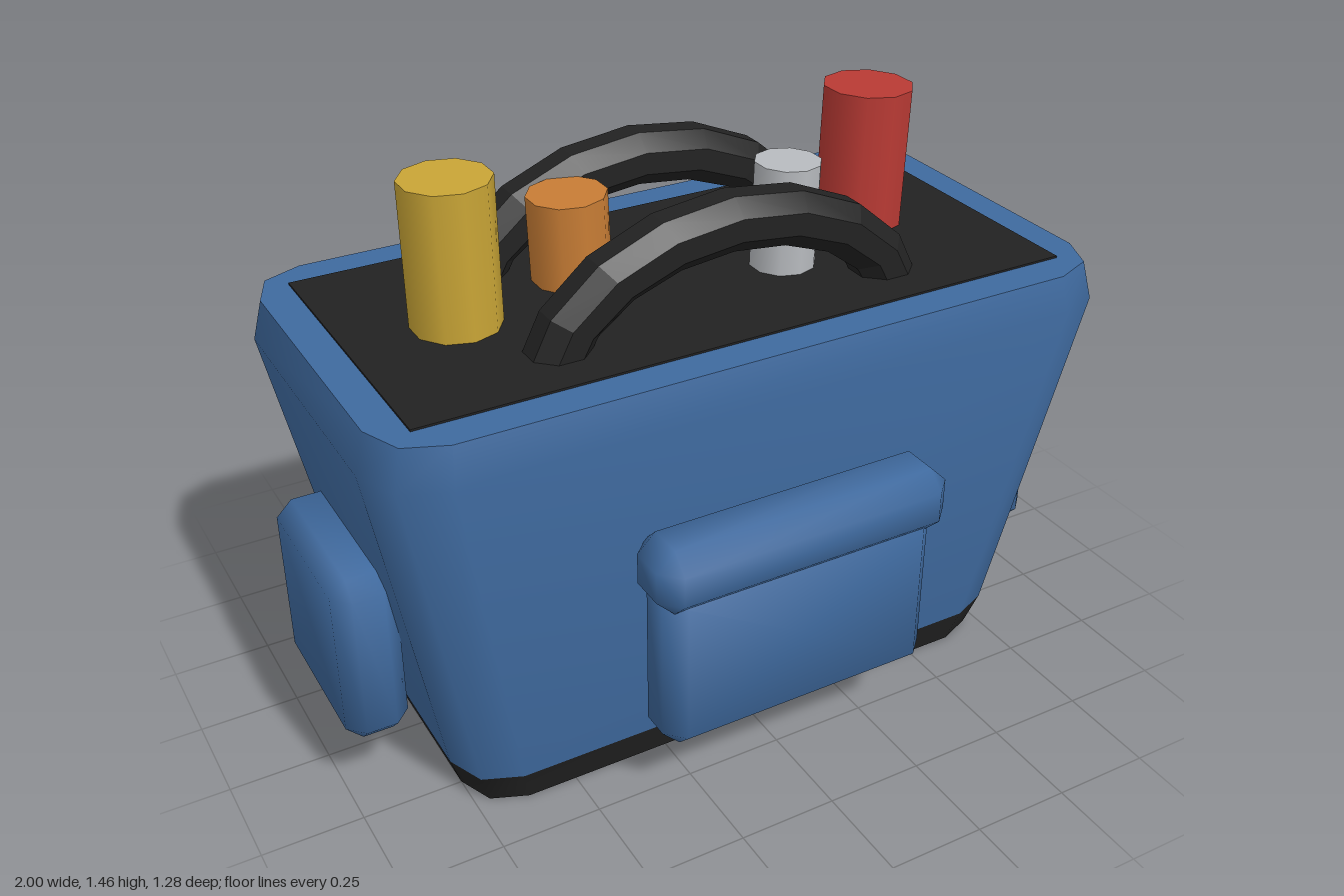
import * as THREE from 'three';
import { toCreasedNormals } from 'three/addons/utils/BufferGeometryUtils.js';

const mat = (name, color) => {
  const m = new THREE.MeshStandardMaterial({ color });
  m.name = name;
  return m;
};

// Rectangle outline at height z, corners rounded by r in n steps (counterclockwise)
function roundedRing(hx, hy, r, z, n) {
  const ring = [];
  [[1, 1], [-1, 1], [-1, -1], [1, -1]].forEach(([sx, sy], q) => {
    for (let k = 0; k <= n; k++) {
      const a = (q + k / n) * Math.PI / 2;
      ring.push([sx * (hx - r) + r * Math.cos(a), sy * (hy - r) + r * Math.sin(a), z]);
    }
  });
  return ring;
}

// Closed skin over a row of rings; edges sharper than the crease angle stay hard
function loft(rings, crease) {
  const n = rings[0].length, pos = rings.flat(2), idx = [];
  const last = rings.length - 1;
  for (let j = 0; j < last; j++) {
    for (let i = 0; i < n; i++) {
      const k = (i + 1) % n;
      const a = j * n + i, b = j * n + k, c = a + n, d = b + n;
      idx.push(a, b, d, a, d, c);
    }
  }
  [0, last].forEach((j, e) => {
    const centre = pos.length / 3;
    for (let c = 0; c < 3; c++) pos.push(rings[j].reduce((s, p) => s + p[c], 0) / n);
    for (let i = 0; i < n; i++) {
      const a = j * n + i, b = j * n + (i + 1) % n;
      if (e) idx.push(centre, a, b);
      else idx.push(centre, b, a);
    }
  });
  const g = new THREE.BufferGeometry();
  g.setAttribute('position', new THREE.Float32BufferAttribute(pos, 3));
  g.setIndex(idx);
  return toCreasedNormals(g, crease);
}

// Box with chamfered edges and soft shading
function softBox(w, h, d, r) {
  const x = w / 2, y = h / 2, z = d / 2;
  return loft([
    roundedRing(x - r, y - r, 0, -z, 1),
    roundedRing(x, y, r, -z + r, 1),
    roundedRing(x, y, r, z - r, 1),
    roundedRing(x - r, y - r, 0, z, 1),
  ], Math.PI);
}

// Half an elliptical hoop with an eight-sided section
function handleGeometry() {
  const rings = [];
  for (let s = 0; s <= 8; s++) {
    const a = THREE.MathUtils.degToRad(10 + s * 20);
    const ring = [];
    for (let k = 0; k < 8; k++) {
      const t = (k + 0.5) * Math.PI / 4;
      const out = 0.072 * Math.cos(t), side = 0.076 * Math.sin(t);
      ring.push([(0.466 + out) * Math.cos(a), (0.318 + out) * Math.sin(a), -side]);
    }
    rings.push(ring);
  }
  return loft(rings, 0.2);
}

export function createModel() {
  const group = new THREE.Group();
  const blue = mat('blue canvas', 0x3f6a9f);
  const black = mat('black rubber', 0x222222);
  const yellow = mat('yellow', 0xc9a536);
  const orange = mat('orange', 0xc87d35);
  const silver = mat('silver', 0xb8bbbf);
  const red = mat('red', 0xb93a34);

  const add = (name, geo, material, x = 0, y = 0, z = 0, parent = group) => {
    const m = new THREE.Mesh(geo, material);
    m.name = name;
    m.position.set(x, y, z);
    parent.add(m);
    return m;
  };

  // Flared bag and its base
  const body = loft([
    roundedRing(0.78, 0.4, 0.135, 0.09, 2),
    roundedRing(0.955, 0.5, 0.155, 1.0, 2),
    roundedRing(0.93, 0.48, 0.14, 1.097, 2),
  ], 0.9);
  add('body', body.rotateX(-Math.PI / 2), blue);
  const base = loft([
    roundedRing(0.75, 0.375, 0.125, 0, 2),
    roundedRing(0.78, 0.4, 0.135, 0.09, 2),
  ], 0.9);
  add('base', base.rotateX(-Math.PI / 2), black);
  add('opening', new THREE.BoxGeometry(1.69, 0.008, 0.78), black, 0, 1.098, 0);

  // Front and back pockets with flaps, side pockets
  for (const s of [1, -1]) {
    const pocket = new THREE.Group();
    pocket.name = s > 0 ? 'frontPocket' : 'backPocket';
    pocket.rotation.y = s > 0 ? 0 : Math.PI;
    add('pocketBag', softBox(0.73, 0.46, 0.16, 0.045), blue, 0, 0.415, 0.535, pocket);
    add('pocketFlap', softBox(0.78, 0.17, 0.18, 0.046), blue, 0, 0.668, 0.548, pocket);
    group.add(pocket);

    const side = add(s > 0 ? 'leftPocket' : 'rightPocket',
      softBox(0.455, 0.455, 0.155, 0.04), blue, s * 0.9225, 0.413, 0);
    side.rotation.y = s * Math.PI / 2;

    add(s > 0 ? 'frontHandle' : 'backHandle', handleGeometry(), black, 0, 1.0, s * 0.226);
  }

  // Tool grips: material, x and z at the top, radius, top height, lean
  const grips = [
    ['yellowGrip', yellow, -0.582, 0, 0.108, 1.458, 0.01],
    ['orangeGrip', orange, -0.25, -0.09, 0.098, 1.32, 0.03],
    ['silverGrip', silver, 0.247, 0.087, 0.082, 1.365, -0.03],
    ['redGrip', red, 0.563, -0.045, 0.114, 1.458, -0.035],
  ];
  for (const [name, m, x, z, r, top, lean] of grips) {
    const h = top - 1.03;
    const geo = new THREE.CylinderGeometry(r, r, h, 10).translate(0, -h / 2, 0);
    add(name, geo, m, x, top, z).rotation.z = lean;
  }
  return group;
}
